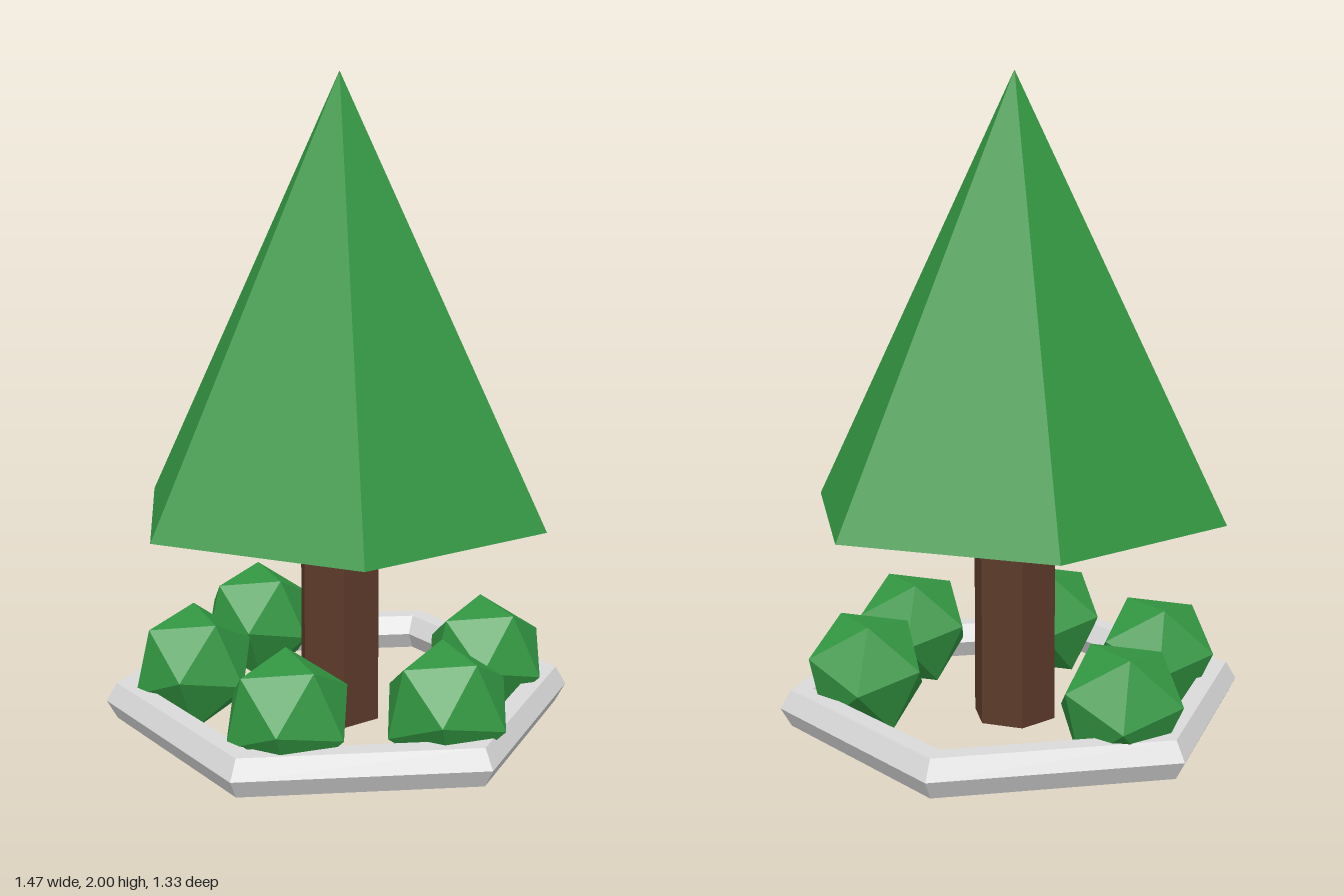
import * as THREE from 'three';

function material(name, color) {
  const m = new THREE.MeshStandardMaterial({ color, flatShading: true });
  m.name = name;
  return m;
}

export function createModel() {
  const group = new THREE.Group();
  group.name = 'treePlanter';
  const leaf = material('leaf green', 0x339642);
  const bark = material('bark brown', 0x5c3a29);
  const stone = material('stone grey', 0xdadada);

  const add = (name, geometry, mat, x, y, z) => {
    const mesh = new THREE.Mesh(geometry, mat);
    mesh.name = name;
    mesh.position.set(x, y, z);
    group.add(mesh);
    return mesh;
  };

  // Hexagonal trunk and crown
  add('trunk', new THREE.CylinderGeometry(0.133, 0.133, 0.667, 6), bark, 0, 0.3335, 0);
  add('crown', new THREE.ConeGeometry(0.667, 1.333, 6), leaf, 0, 1.3335, 0);

  // Six-sided kerb lying flat on the ground
  const kerb = new THREE.TorusGeometry(0.667, 0.0667, 6, 6).rotateX(Math.PI / 2);
  add('kerb', kerb, stone, 0, 0.067, 0);

  // Five bushes sharing one tilted shape, with a gap at the back on the +x side
  const bush = new THREE.IcosahedronGeometry(0.2, 0);
  const spots = [[0.467, 0], [0.272, 0.413], [-0.195, 0.432], [-0.46, -0.007], [-0.233, -0.437]];
  for (const [x, z] of spots) {
    add('bush', bush, leaf, x, 0.171, z).rotation.set(0.49, -0.14, 0.2);
  }
  return group;
}
